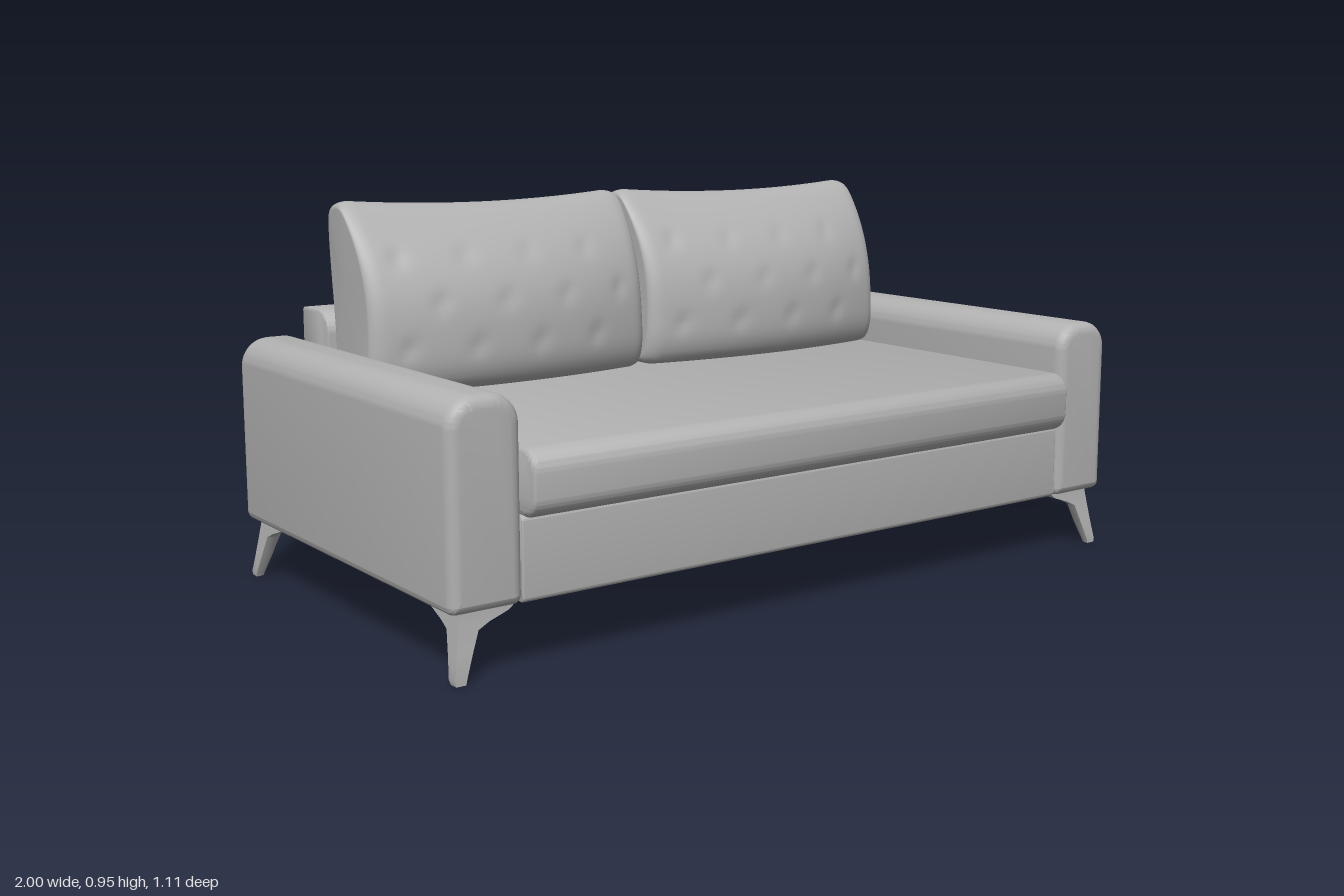
import * as THREE from 'three';
import { mergeVertices, toCreasedNormals } from 'three/addons/utils/BufferGeometryUtils.js';

const upholstery = new THREE.MeshStandardMaterial({ color: 0xb2b2b2 });
upholstery.name = 'grey';

function add(group, name, geometry) {
  const mesh = new THREE.Mesh(geometry, upholstery);
  mesh.name = name;
  group.add(mesh);
  return mesh;
}

// Rectangle with a separate radius per corner: top right, top left, bottom left, bottom right
function roundedRect(x0, x1, y0, y1, [tr, tl, bl, br]) {
  const s = new THREE.Shape();
  s.moveTo(x0 + bl, y0);
  s.lineTo(x1 - br, y0);
  s.absarc(x1 - br, y0 + br, br, -Math.PI / 2, 0);
  s.lineTo(x1, y1 - tr);
  s.absarc(x1 - tr, y1 - tr, tr, 0, Math.PI / 2);
  s.lineTo(x0 + tl, y1);
  s.absarc(x0 + tl, y1 - tl, tl, Math.PI / 2, Math.PI);
  s.lineTo(x0, y0 + bl);
  s.absarc(x0 + bl, y0 + bl, bl, Math.PI, Math.PI * 1.5);
  return s;
}

// Padded block: profile extruded to a length, with softened ends, centred on its axis
function padded(shape, length, soft) {
  const g = new THREE.ExtrudeGeometry(shape, {
    depth: length - 2 * soft, curveSegments: 8,
    bevelSize: soft, bevelThickness: soft, bevelOffset: -soft, bevelSegments: 4,
  });
  g.translate(0, 0, soft - length / 2);
  g.deleteAttribute('normal');
  g.deleteAttribute('uv');
  return toCreasedNormals(mergeVertices(g, 1e-4), 0.7);
}

// Same, but with the profile drawn in (z, y) and the length along x
const paddedAcross = (shape, length, soft) => padded(shape, length, soft).rotateY(-Math.PI / 2);

// Skin closed rings of points and cap both ends
function loft(rings) {
  const n = rings[0].length;
  const pos = [];
  const index = [];
  rings.forEach((ring) => ring.forEach((p) => pos.push(p.x, p.y, p.z)));
  for (let i = 0; i < rings.length - 1; i++) {
    for (let j = 0; j < n; j++) {
      const a = i * n + j, c = i * n + (j + 1) % n;
      index.push(a, a + n, c + n, a, c + n, c);
    }
  }
  [0, rings.length - 1].forEach((r, end) => {
    const mid = new THREE.Vector3();
    rings[r].forEach((p) => mid.addScaledVector(p, 1 / n));
    const m = pos.length / 3;
    pos.push(mid.x, mid.y, mid.z);
    for (let j = 0; j < n; j++) {
      const a = r * n + j, b = r * n + (j + 1) % n;
      index.push(m, end ? b : a, end ? a : b);
    }
  });
  const g = new THREE.BufferGeometry();
  g.setAttribute('position', new THREE.Float32BufferAttribute(pos, 3));
  g.setIndex(index);
  g.computeVertexNormals();
  return g;
}

// Plump back cushion: side profile swept across, thinner at the ends, with tufted dimples
function backCushion() {
  const profile = new THREE.CatmullRomCurve3([
    [-0.17, 0.495], [-0.142, 0.54], [-0.137, 0.63], [-0.15, 0.72], [-0.187, 0.81], [-0.25, 0.895],
    [-0.315, 0.95], [-0.36, 0.955], [-0.415, 0.935], [-0.43, 0.87], [-0.428, 0.77], [-0.405, 0.63],
    [-0.38, 0.52], [-0.35, 0.49], [-0.25, 0.487],
  ].map(([z, y]) => new THREE.Vector3(0, y, z)), true).getSpacedPoints(72).slice(0, 72);
  const half = 0.407, r = 0.04, steps = 64;
  const dimples = [];
  [0.6, 0.71, 0.82].forEach((y, row) => {
    for (let k = -1.5; k <= 1.5; k++) dimples.push([k * 0.18 + (row % 2 ? 0.045 : -0.045), y]);
  });
  const rings = [];
  for (let i = 0; i <= steps; i++) {
    const u = -Math.cos((Math.PI * i) / steps);
    const x = u * half;
    const over = Math.max(0, Math.abs(x) - (half - r)) / r;
    const shrink = 1 - 0.2 * (1 - Math.sqrt(Math.max(0, 1 - over * over)));
    rings.push(profile.map((p) => {
      const t = (p.y - 0.72) / 0.235;
      let z = -0.42 + (p.z + 0.42) * (1 - 0.2 * u * u);
      let y = p.y - 0.018 * Math.max(0, t) * (1 - u * u);
      z = -0.3 + (z + 0.3) * shrink;
      y = 0.72 + (y - 0.72) * (0.55 + 0.45 * shrink);
      if (p.z > -0.3) {
        dimples.forEach(([dx, dy]) => {
          z -= 0.006 * Math.exp(-((x - dx) ** 2 + (y - dy) ** 2) / 0.0005);
        });
      }
      return new THREE.Vector3(x * (1 - 0.02 * Math.max(0, 1 - t * t)), y, z);
    }));
  }
  return loft(rings);
}

// Splayed corner leg flaring into two bracket wings under the frame
function cornerLeg(sx, sz) {
  // height, outer corner x and z, wing length, wing thickness
  const sections = [
    [0, 0.988, 0.53, 0.024, 0.02], [0.01, 0.99, 0.53, 0.028, 0.024],
    [0.06, 0.981, 0.522, 0.038, 0.032], [0.108, 0.973, 0.515, 0.049, 0.038],
    [0.122, 0.971, 0.513, 0.075, 0.04], [0.138, 0.968, 0.511, 0.12, 0.042],
    [0.153, 0.966, 0.51, 0.138, 0.044],
  ];
  const rings = sections.map(([y, ox, oz, w, t]) => {
    const ring = [[0, 0], [w, 0], [w, t * 0.6], [t, t], [t * 0.6, w], [0, w]].map(
      ([a, b]) => new THREE.Vector3(sx * (ox - a), y, sz * (oz - b) - 0.017));
    return sx * sz < 0 ? ring.reverse() : ring;
  });
  return toCreasedNormals(loft(rings), 0.7);
}

export function createModel() {
  const sofa = new THREE.Group();
  sofa.name = 'sofa';

  // Frame
  add(sofa, 'base', paddedAcross(roundedRect(-0.5, 0.512, 0.15, 0.34, [0.012, 0.005, 0.005, 0.012]), 1.645, 0.004));
  add(sofa, 'backrest', paddedAcross(roundedRect(-0.556, -0.41, 0.15, 0.676, [0.055, 0.008, 0.005, 0.005]), 1.645, 0.005));

  // Seat with a bulging front edge
  add(sofa, 'seatCushion', paddedAcross(roundedRect(-0.42, 0.556, 0.335, 0.486, [0.05, 0.01, 0.01, 0.05]), 1.635, 0.015));

  for (const side of [-1, 1]) {
    const name = side > 0 ? 'left' : 'right';
    const arm = add(sofa, name + 'Arm', padded(roundedRect(-0.089, 0.089, 0.15, 0.61, [0.07, 0.07, 0.02, 0.02]), 1.077, 0.028));
    arm.position.set(side * 0.911, 0, -0.0165);
    const cushion = add(sofa, name + 'BackCushion', backCushion());
    cushion.position.x = side * 0.41;
    add(sofa, name + 'FrontLeg', cornerLeg(side, 1));
    add(sofa, name + 'BackLeg', cornerLeg(side, -1));
  }
  return sofa;
}
